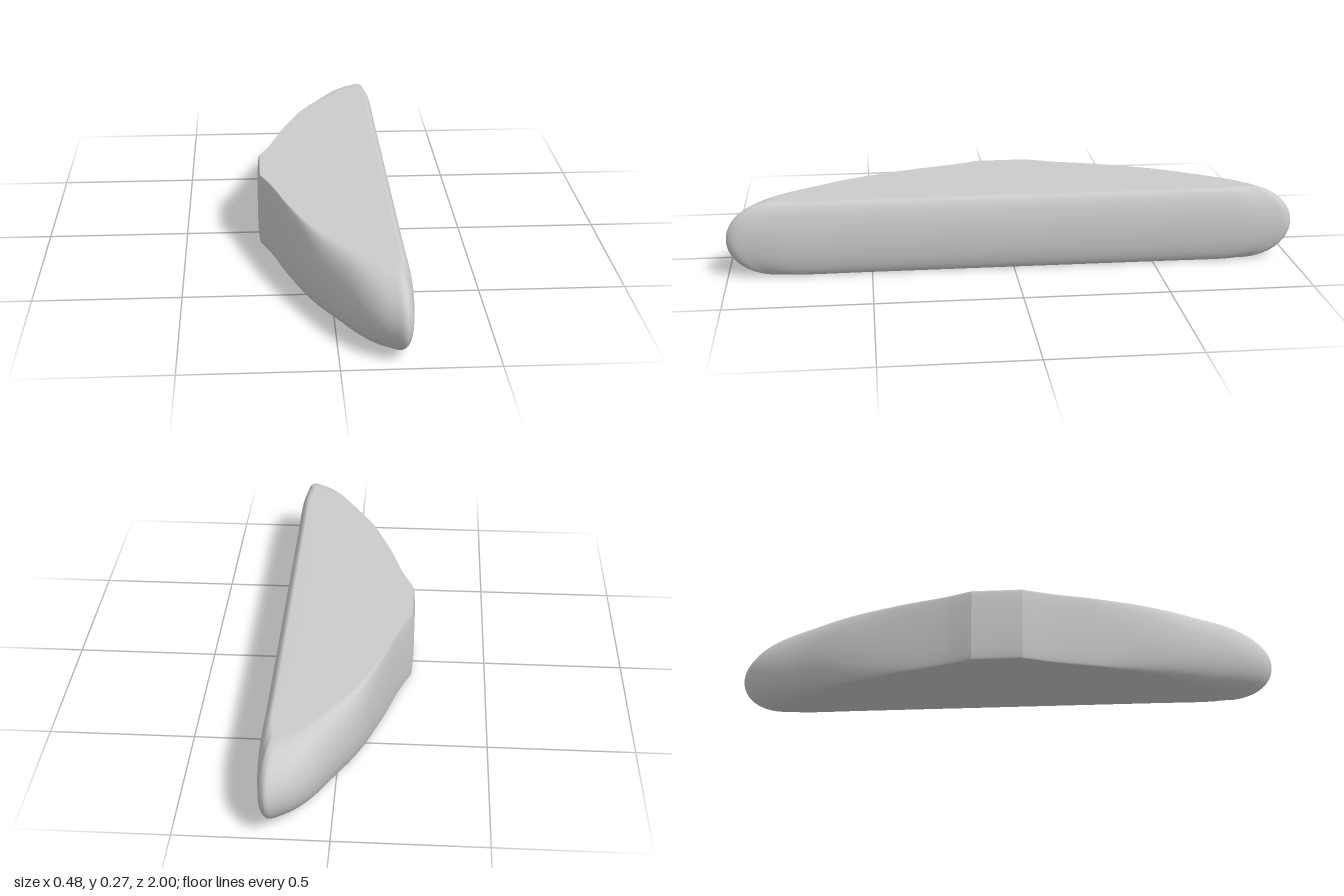
import * as THREE from 'three';

const HALF_HEIGHT = 0.134;
const LEVELS = 24;

// Half plan, from the blunt end round the tip to the middle of the long face:
// [x, z] at mid height, then [x, z] where the rounding meets the flat top
const PLAN = [
  [-0.24, 0.09, -0.23, 0.09],
  [-0.2, 0.19, -0.19, 0.19],
  [-0.15, 0.36, -0.14, 0.35],
  [-0.08, 0.59, -0.06, 0.54],
  [0, 0.76, 0.03, 0.68],
  [0.07, 0.89, 0.09, 0.76],
  [0.12, 0.95, 0.13, 0.8],
  [0.16, 0.98, 0.16, 0.82],
  [0.2, 1, 0.18, 0.83],
  [0.22, 0.98, 0.19, 0.82],
  [0.23, 0.93, 0.19, 0.8],
  [0.24, 0.82, 0.2, 0.75],
  [0.24, 0.6, 0.2, 0.55],
  [0.24, 0.3, 0.2, 0.28],
  [0.24, 0, 0.2, 0],
];

// Smooth the half plan and mirror it to the other side
function sampleOutline(offset) {
  const curve = new THREE.CatmullRomCurve3(
    PLAN.map((p) => new THREE.Vector3(p[offset], 0, p[offset + 1])));
  const steps = (PLAN.length - 1) * 5;
  const half = [];
  for (let i = 0; i <= steps; i++) half.push(curve.getPoint(i / steps));
  const mirrored = half.slice(0, -1).reverse().map((p) => new THREE.Vector3(p.x, 0, -p.z));
  return [...half, ...mirrored];
}

// Elliptically rounded wall over a run of outline, with its share of the top and bottom
function roundedPanel(outer, inner) {
  const positions = [];
  const index = [];
  const n = outer.length;
  for (let j = 0; j <= LEVELS; j++) {
    const angle = -Math.PI / 2 + (Math.PI * j) / LEVELS;
    for (let i = 0; i < n; i++) {
      const p = inner[i].clone().lerp(outer[i], Math.cos(angle));
      positions.push(p.x, HALF_HEIGHT * (1 + Math.sin(angle)), p.z);
    }
  }
  for (let j = 0; j < LEVELS; j++) {
    for (let i = 0; i < n - 1; i++) {
      const a = j * n + i;
      index.push(a, a + 1, a + n + 1, a, a + n + 1, a + n);
    }
  }
  // Flat bottom and top, fanned from a central point
  const bottom = positions.length / 3;
  positions.push(0.1, 0, 0, 0.1, 2 * HALF_HEIGHT, 0);
  for (let i = 0; i < n - 1; i++) {
    index.push(bottom, i + 1, i);
    index.push(bottom + 1, LEVELS * n + i, LEVELS * n + i + 1);
  }
  const geometry = new THREE.BufferGeometry();
  geometry.setAttribute('position', new THREE.Float32BufferAttribute(positions, 3));
  geometry.setIndex(index);
  geometry.computeVertexNormals();
  return geometry;
}

export function createModel() {
  const group = new THREE.Group();
  group.name = 'roundedWedge';
  const material = new THREE.MeshStandardMaterial({ color: 0xcccccc });
  const outer = sampleOutline(0);
  const inner = sampleOutline(2);

  const add = (name, geometry) => {
    const mesh = new THREE.Mesh(geometry, material);
    mesh.name = name;
    group.add(mesh);
  };

  // Curved body, smooth around both tips
  add('body', roundedPanel(outer, inner));

  // Narrow blunt end, separate so its corners stay crisp
  const ends = (ring) => [ring[ring.length - 1], ring[0]];
  add('bluntEnd', roundedPanel(ends(outer), ends(inner)));

  return group;
}
